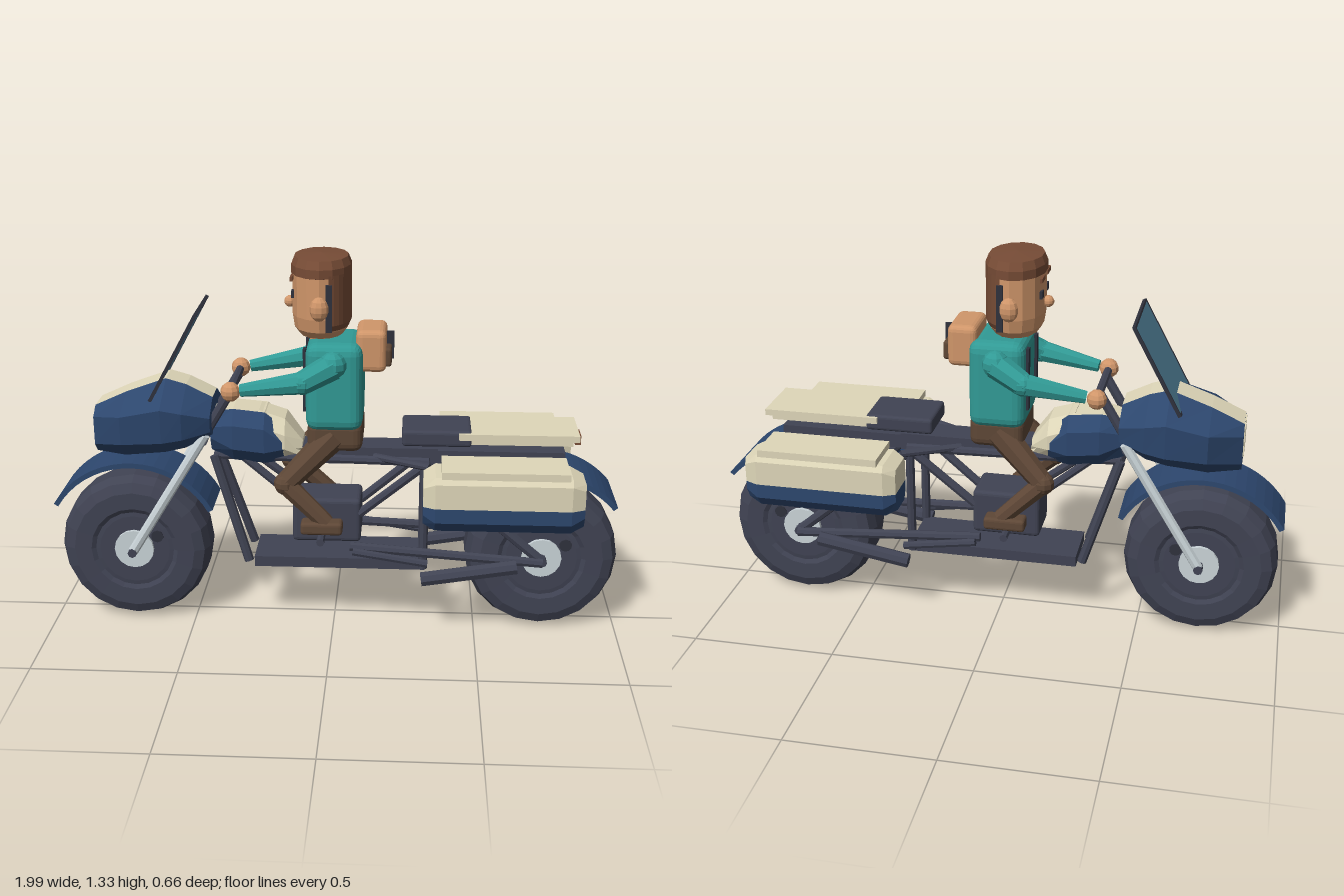
import * as THREE from 'three';
import { RoundedBoxGeometry } from 'three/addons/geometries/RoundedBoxGeometry.js';

const mat = (name, color, side = THREE.FrontSide) =>
  new THREE.MeshStandardMaterial({ name, color, side, flatShading: true });

export function createModel() {
  const M = {
    navy: mat('navy paint', 0x2d476e), cream: mat('cream paint', 0xdfd7b9),
    dark: mat('dark rubber and steel', 0x404353), metal: mat('pale metal', 0xcad4d8),
    glass: mat('tinted glass', 0x52829a, THREE.DoubleSide), teal: mat('teal shirt', 0x319a95),
    skin: mat('skin and tan leather', 0xd0966a), hair: mat('brown hair', 0x774c36),
    brown: mat('brown trousers', 0x5e4736), black: mat('dark details', 0x2f313c),
  };
  const bike = new THREE.Group(), rider = new THREE.Group(), root = new THREE.Group();
  bike.name = 'motorcycle';
  rider.name = 'rider';
  root.name = 'motorcycleWithRider';
  root.add(bike, rider);

  const add = (parent, name, geo, material, x = 0, y = 0, z = 0) => {
    const m = new THREE.Mesh(geo, material);
    m.name = name;
    m.position.set(x, y, z);
    parent.add(m);
    return m;
  };
  // Boxes given by their extents; r rounds the corners
  const box = (parent, name, material, [x0, x1], [y0, y1], [z0, z1], r = 0) => add(parent, name,
    r ? new RoundedBoxGeometry(x1 - x0, y1 - y0, z1 - z0, 2, r) : new THREE.BoxGeometry(x1 - x0, y1 - y0, z1 - z0),
    material, (x0 + x1) / 2, (y0 + y1) / 2, (z0 + z1) / 2);
  // Straight or tapered bar between two points
  const bar = (parent, name, material, a, b, r0, r1 = r0, sides = 8) => {
    const A = new THREE.Vector3(...a), B = new THREE.Vector3(...b), d = B.clone().sub(A);
    const m = add(parent, name, new THREE.CylinderGeometry(r1, r0, d.length(), sides), material);
    m.position.copy(A).lerp(B, 0.5);
    m.quaternion.setFromUnitVectors(new THREE.Vector3(0, 1, 0), d.normalize());
    return m;
  };
  const ball = (parent, name, material, p, r, sy = 1, sz = 1) => {
    const m = add(parent, name, new THREE.SphereGeometry(r, 10, 7), material, ...p);
    m.scale.set(1, sy, sz);
    return m;
  };
  // Symmetric loft along x: each station is [x, half outline of [z, y] from bottom to top]
  const loft = (stations, accentSpans = 0) => {
    const rings = stations.map(([x, half]) => [...half, ...half.slice().reverse().map(([z, y]) => [-z, y])]
      .map(([z, y]) => [x, y, z]));
    const n = rings[0].length, main = [], accent = [];
    for (let s = 0; s < rings.length - 1; s++) for (let i = 0; i < n; i++) {
      const j = (i + 1) % n, a = rings[s], b = rings[s + 1];
      const out = i === n / 2 - 1 && s < accentSpans ? accent : main;
      out.push(...a[i], ...b[i], ...b[j], ...a[i], ...b[j], ...a[j]);
    }
    const first = rings[0], last = rings[rings.length - 1];
    for (let i = 1; i < n - 1; i++) {
      main.push(...first[0], ...first[i], ...first[i + 1]);
      main.push(...last[0], ...last[i + 1], ...last[i]);
    }
    const g = new THREE.BufferGeometry();
    g.setAttribute('position', new THREE.Float32BufferAttribute([...main, ...accent], 3));
    g.addGroup(0, main.length / 3, 0);
    g.addGroup(main.length / 3, accent.length / 3, 1);
    g.computeVertexNormals();
    return g;
  };
  const sides = (fn) => [1, -1].forEach(fn);
  const points = (list) => list.map(p => new THREE.Vector2(...p));

  // Wheels: chunky tyre, shallow ring, pale hub and a small valve
  const tyre = [[0, -0.092], [0.125, -0.092], [0.14, -0.09], [0.155, -0.099], [0.215, -0.1], [0.25, -0.085], [0.267, -0.045]];
  const profile = points([...tyre, ...tyre.slice().reverse().map(([r, h]) => [r, -h])]);
  for (const [label, x] of [['front', -0.71], ['rear', 0.73]]) {
    add(bike, label + 'Wheel', new THREE.LatheGeometry(profile, 20).rotateX(Math.PI / 2), M.dark, x, 0.274, 0);
    bar(bike, label + 'Hub', M.metal, [x, 0.278, -0.105], [x, 0.278, 0.105], 0.07, 0.07, 16);
    bar(bike, label + 'Axle', M.dark, [x, 0.278, -0.145], [x, 0.278, 0.145], 0.016);
    bar(bike, label + 'Valve', M.black, [x + 0.083, 0.325, -0.097], [x + 0.083, 0.325, 0.097], 0.022, 0.022, 10);
  }

  // Mudguards: thin arcs over each wheel
  const fender = (name, x, from, to, half) => {
    const s = new THREE.Shape();
    s.absarc(0, 0, 0.325, from, to, false);
    s.absarc(0, 0, 0.307, to, from, true);
    const g = new THREE.ExtrudeGeometry(s, { depth: half * 2, bevelEnabled: false, curveSegments: 9 });
    add(bike, name, g, M.navy, x, 0.278, -half);
  };
  fender('frontFender', -0.71, 0.5, 2.6, 0.105);
  fender('rearFender', 0.73, 0.7, 2.3, 0.137);

  // Fairing with a cream stripe over the top and a cream nose plate
  const ring = (w, bot, low, edge, top) => [[w * 0.6, bot], [w * 0.96, low], [w, edge], [0.055, top]];
  add(bike, 'fairing', loft([
    [-0.83, ring(0.1, 0.635, 0.67, 0.77, 0.8)],
    [-0.72, ring(0.195, 0.64, 0.7, 0.8, 0.85)],
    [-0.58, ring(0.205, 0.655, 0.71, 0.83, 0.9)],
    [-0.51, ring(0.195, 0.67, 0.72, 0.815, 0.88)],
    [-0.42, ring(0.145, 0.71, 0.735, 0.785, 0.835)],
  ], 4), [M.navy, M.cream]);
  box(bike, 'nosePlate', M.cream, [-0.834, -0.828], [0.68, 0.79], [-0.055, 0.055]);

  // Raked windscreen with a slim frame
  const screen = new THREE.Group();
  screen.name = 'windscreen';
  screen.position.set(-0.54, 0.995, 0);
  screen.rotation.z = -0.5;
  bike.add(screen);
  box(screen, 'glass', M.glass, [-0.004, 0.004], [-0.165, 0.165], [-0.147, 0.147]);
  sides(s => {
    box(screen, 'sideFrame', M.black, [-0.006, 0.006], [-0.17, 0.17], [s * 0.15 - 0.004, s * 0.15 + 0.004]);
    box(screen, 'endFrame', M.black, [-0.006, 0.006], [s * 0.167 - 0.004, s * 0.167 + 0.004], [-0.15, 0.15]);
  });

  // Tank: cream spine with navy flanks
  const tankRing = (w, b, t) => [[w * 0.6, b], [w, b + 0.05], [w, t - 0.05], [w * 0.6, t]];
  add(bike, 'tank', loft([
    [-0.43, tankRing(0.07, 0.64, 0.78)], [-0.35, tankRing(0.1, 0.61, 0.795)],
    [-0.24, tankRing(0.105, 0.6, 0.785)], [-0.16, tankRing(0.085, 0.61, 0.72)],
  ], 3), [M.navy, M.cream]);
  add(bike, 'tankTail', loft([
    [-0.26, tankRing(0.085, 0.62, 0.79)], [-0.17, tankRing(0.09, 0.61, 0.76)], [-0.11, tankRing(0.07, 0.61, 0.68)],
  ]), M.cream);

  // Fork legs, steering posts and handlebar
  sides(s => {
    bar(bike, 'forkLeg', M.metal, [-0.71, 0.278, s * 0.125], [-0.44, 0.72, s * 0.125], 0.018);
    bar(bike, 'steeringPost', M.dark, [-0.44, 0.72, s * 0.08], [-0.345, 0.88, s * 0.08], 0.017);
  });
  bar(bike, 'handlebar', M.dark, [-0.345, 0.885, -0.16], [-0.345, 0.885, 0.16], 0.015);
  bar(bike, 'forkYoke', M.dark, [-0.45, 0.7, -0.13], [-0.45, 0.7, 0.13], 0.02);

  // Tubular frame, swingarm and exhausts
  const frameTubes = [
    [[-0.42, 0.62, 0.05], [-0.3, 0.24, 0.09], 0.017], [[-0.32, 0.62, 0.05], [-0.12, 0.46, 0.07], 0.015],
    [[0.09, 0.42, 0.07], [0.33, 0.62, 0.08], 0.016], [[0.315, 0.62, 0.1], [0.315, 0.23, 0.1], 0.016],
    [[0.33, 0.61, 0.12], [0.73, 0.278, 0.13], 0.018], [[0.06, 0.315, 0.12], [0.73, 0.278, 0.145], 0.017],
    [[0.14, 0.63, 0.06], [0.33, 0.63, 0.16], 0.013], [[0.07, 0.31, 0.155], [0.33, 0.27, 0.155], 0.014],
    [[-0.42, 0.62, 0.04], [0.33, 0.62, 0.08], 0.016], [[0.31, 0.22, 0.175], [0.64, 0.275, 0.175], 0.026],
  ];
  sides(s => frameTubes.forEach(([a, b, r]) =>
    bar(bike, 'frameTube', M.dark, [a[0], a[1], a[2] * s], [b[0], b[1], b[2] * s], r)));
  box(bike, 'skidPlate', M.dark, [-0.28, 0.32], [0.222, 0.26], [-0.1, 0.1]);
  box(bike, 'engine', M.dark, [-0.145, 0.095], [0.315, 0.475], [-0.085, 0.085], 0.015);
  bar(bike, 'engineCap', M.black, [-0.04, 0.355, -0.09], [-0.04, 0.355, 0.09], 0.018);
  bar(bike, 'footPegs', M.dark, [-0.04, 0.36, -0.2], [-0.04, 0.36, 0.2], 0.014);
  box(bike, 'seatBeam', M.dark, [-0.15, 0.36], [0.6, 0.66], [-0.055, 0.055]);

  // Rear pad, luggage deck and tail lamp
  box(bike, 'rearPad', M.dark, [0.235, 0.475], [0.68, 0.737], [-0.095, 0.095], 0.012);
  box(bike, 'rackSupport', M.dark, [0.3, 0.8], [0.6, 0.65], [-0.045, 0.045]);
  box(bike, 'luggageDeck', M.cream, [0.43, 0.84], [0.71, 0.732], [-0.106, 0.106]);
  box(bike, 'luggageDeckBase', M.cream, [0.45, 0.82], [0.69, 0.71], [-0.09, 0.09]);
  box(bike, 'tailLamp', M.hair, [0.832, 0.852], [0.677, 0.711], [-0.033, 0.033]);

  // Panniers: cream tops, navy bottoms, flat lids
  const ends = [[0.31, 0.75, 0.02], [0.35, 1, 0], [0.8, 1, 0], [0.845, 0.75, 0.02]];
  const upper = ends.map(([x, k, d]) => [x, [[0.083 * k, 0.545], [0.083 * k, 0.63 - d], [0.07 * k, 0.652 - d]]]);
  const lower = ends.map(([x, k, d]) => [x, [[0.055 * k, 0.458 + d], [0.083 * k, 0.495 + d], [0.083 * k, 0.545]]]);
  sides(s => {
    add(bike, 'pannierTop', loft(upper), M.cream, 0, 0, s * 0.245);
    add(bike, 'pannierBottom', loft(lower), M.navy, 0, 0, s * 0.245);
    box(bike, 'pannierLid', M.cream, [0.37, 0.79], [0.65, 0.675], [s * 0.245 - 0.083, s * 0.245 + 0.083]);
    bar(bike, 'pannierBracket', M.dark, [0.55, 0.6, s * 0.05], [0.55, 0.6, s * 0.2], 0.02);
  });

  // Rider body
  box(rider, 'hips', M.brown, [-0.09, 0.1], [0.66, 0.77], [-0.115, 0.115], 0.03);
  box(rider, 'torso', M.teal, [-0.095, 0.1], [0.735, 1.045], [-0.13, 0.13], 0.04);
  bar(rider, 'neck', M.skin, [-0.04, 1.02, 0], [-0.04, 1.08, 0], 0.045);
  sides(s => {
    bar(rider, 'thigh', M.brown, [0.0, 0.71, s * 0.075], [-0.165, 0.55, s * 0.13], 0.052, 0.038);
    ball(rider, 'knee', M.brown, [-0.165, 0.55, s * 0.13], 0.04);
    bar(rider, 'shin', M.brown, [-0.165, 0.55, s * 0.13], [-0.02, 0.415, s * 0.155], 0.036, 0.03);
    box(rider, 'shoe', M.brown, [-0.11, 0.035], [0.38, 0.425], [s * 0.155 - 0.032, s * 0.155 + 0.032], 0.012);
    ball(rider, 'shoulder', M.teal, [0, 0.978, s * 0.135], 0.047);
    bar(rider, 'upperArm', M.teal, [0, 0.975, s * 0.135], [-0.1, 0.925, s * 0.168], 0.047, 0.04);
    ball(rider, 'elbow', M.teal, [-0.1, 0.925, s * 0.168], 0.04);
    bar(rider, 'forearm', M.teal, [-0.1, 0.925, s * 0.168], [-0.31, 0.89, s * 0.15], 0.039, 0.022);
    ball(rider, 'hand', M.skin, [-0.345, 0.885, s * 0.15], 0.034);
    box(rider, 'packStrap', M.black, [-0.104, -0.094], [0.8, 1.02], [s * 0.075 - 0.014, s * 0.075 + 0.014]);
    ball(rider, 'ear', M.skin, [-0.045, 1.17, s * 0.138], 0.032, 1.3, 0.8);
    box(rider, 'sideburn', M.black, [-0.024, -0.002], [1.09, 1.25], [s * 0.131 - 0.005, s * 0.131 + 0.005]);
    box(rider, 'eye', M.black, [-0.143, -0.134], [1.19, 1.215], [s * 0.05 - 0.014, s * 0.05 + 0.014]);
    box(rider, 'eyebrow', M.hair, [-0.146, -0.137], [1.25, 1.265], [s * 0.052 - 0.028, s * 0.052 + 0.028]);
  });

  // Oval head with a brown cap of hair that runs down the back
  const oval = (name, material, list, from = 0, sweep = Math.PI * 2) => {
    const m = add(rider, name, new THREE.LatheGeometry(points(list), 14, from, sweep), material, -0.045, 0, 0);
    m.scale.set(0.099, 1, 0.135);
  };
  oval('head', M.skin, [[0, 1.06], [0.75, 1.06], [0.93, 1.085], [1, 1.13], [1, 1.27], [0.9, 1.31], [0, 1.315]]);
  oval('hairTop', M.hair, [[0.9, 1.265], [1.04, 1.27], [1.04, 1.3], [0.93, 1.327], [0, 1.334]]);
  oval('hairBack', M.hair, [[0.95, 1.09], [1.035, 1.11], [1.035, 1.28]], Math.PI * 0.1, Math.PI * 0.8);
  ball(rider, 'nose', M.skin, [-0.153, 1.165, 0], 0.02);

  // Backpack with pocket and strap
  box(rider, 'backpack', M.skin, [0.075, 0.178], [0.94, 1.085], [-0.092, 0.092], 0.022);
  box(rider, 'packPocket', M.brown, [0.17, 0.196], [0.957, 1.022], [-0.075, 0.075], 0.01);
  box(rider, 'pocketStrap', M.black, [0.176, 0.203], [0.968, 1.065], [-0.005, 0.005]);

  return root;
}
